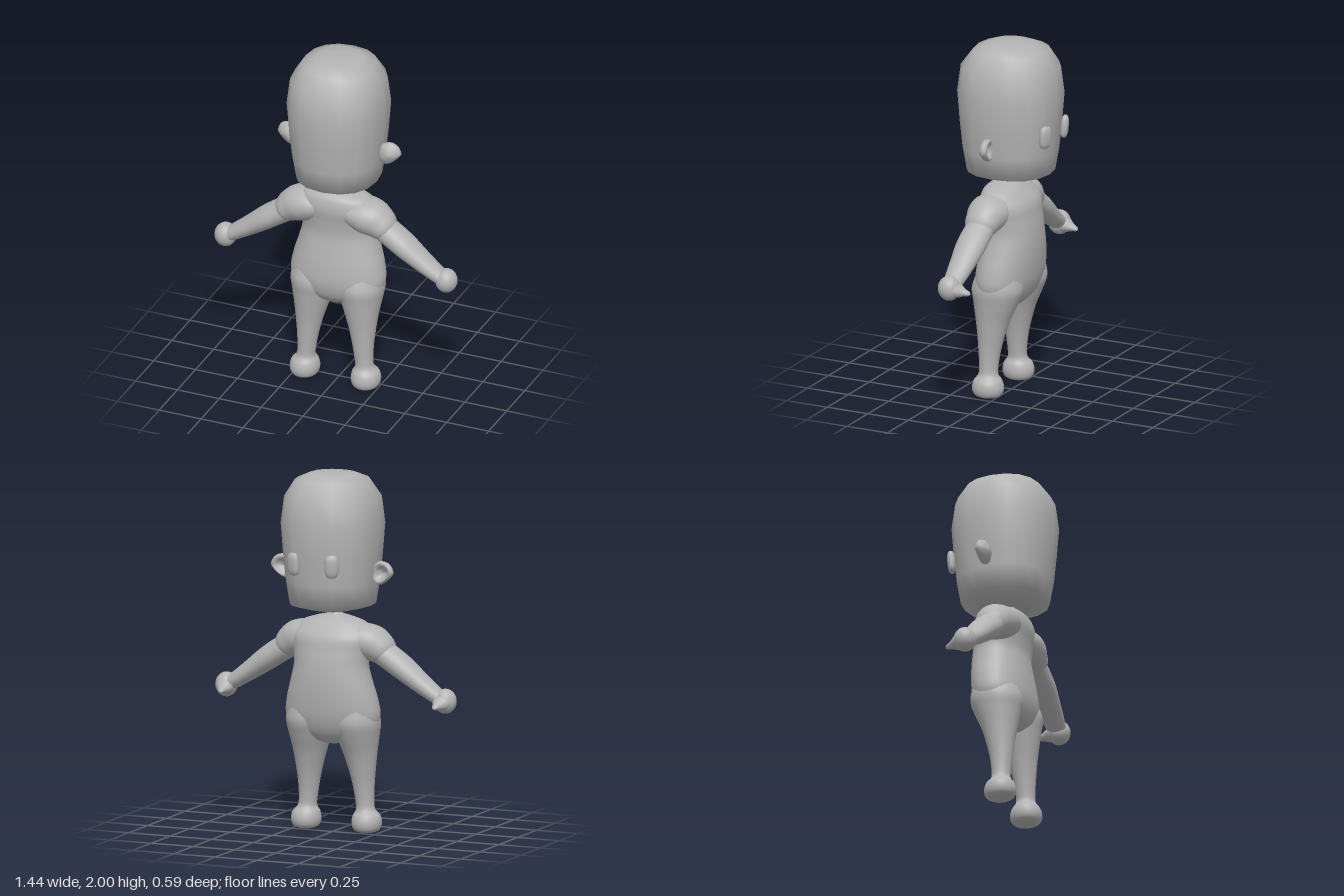
import * as THREE from 'three';

const X = new THREE.Vector3(1, 0, 0), Y = new THREE.Vector3(0, 1, 0), Z = new THREE.Vector3(0, 0, 1);

// Skin through elliptical sections [x, y, z, a, b]; the rows must advance along u cross v.
function loft(rows, { u = X, v = Z, sides = 28, steps = 5, power = 2 } = {}) {
  const centres = new THREE.CatmullRomCurve3(rows.map(r => new THREE.Vector3(r[0], r[1], r[2])), false, 'catmullrom', 0.5);
  const radii = new THREE.CatmullRomCurve3(rows.map(r => new THREE.Vector3(r[3], r[4], 0)), false, 'catmullrom', 0.5);
  const n = (rows.length - 1) * steps, pos = [], idx = [];
  const round = s => Math.sign(s) * Math.abs(s) ** (2 / power);
  for (let i = 0; i <= n; i++) {
    const c = centres.getPoint(i / n), r = radii.getPoint(i / n);
    for (let j = 0; j < sides; j++) {
      const t = (j / sides) * Math.PI * 2;
      const p = c.clone().addScaledVector(u, r.x * round(Math.cos(t))).addScaledVector(v, r.y * round(Math.sin(t)));
      pos.push(p.x, p.y, p.z);
    }
  }
  for (let i = 0; i < n; i++) for (let j = 0; j < sides; j++) {
    const k = (j + 1) % sides, a = i * sides + j, b = i * sides + k;
    idx.push(a, b, a + sides, b, b + sides, a + sides);
  }
  // end caps
  const first = pos.length / 3, last = first + 1;
  pos.push(...rows[0].slice(0, 3), ...rows[rows.length - 1].slice(0, 3));
  for (let j = 0; j < sides; j++) {
    const k = (j + 1) % sides;
    idx.push(first, k, j, last, n * sides + j, n * sides + k);
  }
  const g = new THREE.BufferGeometry();
  g.setAttribute('position', new THREE.Float32BufferAttribute(pos, 3));
  g.setIndex(idx);
  g.computeVertexNormals();
  return g;
}

// Mirror a geometry across x = 0, keeping its faces outward.
function mirrored(geo) {
  const g = geo.clone().applyMatrix4(new THREE.Matrix4().makeScale(-1, 1, 1));
  const ix = g.index.array;
  for (let i = 0; i < ix.length; i += 3) [ix[i + 1], ix[i + 2]] = [ix[i + 2], ix[i + 1]];
  return g;
}

export function createModel() {
  const model = new THREE.Group();
  const clay = new THREE.MeshStandardMaterial({ color: 0xb4b4b4 });
  const add = (name, geo) => {
    const m = new THREE.Mesh(geo, clay);
    m.name = name;
    model.add(m);
  };
  const addPair = (name, geo) => {
    add(name + 'Left', geo);
    add(name + 'Right', mirrored(geo));
  };

  // tall coarse-sided head
  add('head', loft([
    [0, 2.0, 0, 0.06, 0.06], [0, 1.995, 0, 0.13, 0.13], [0, 1.965, 0, 0.2, 0.205],
    [0, 1.87, 0.005, 0.26, 0.27], [0, 1.72, 0.005, 0.278, 0.29], [0, 1.55, 0.005, 0.265, 0.277],
    [0, 1.4, 0.005, 0.25, 0.262], [0, 1.272, 0.005, 0.23, 0.24], [0, 1.24, 0.005, 0.11, 0.12],
    [0, 1.228, 0.005, 0.03, 0.03],
  ], { sides: 16, steps: 1, power: 2.25 }));

  // torso with neck
  add('torso', loft([
    [0, 1.26, 0.03, 0.035, 0.035], [0, 1.215, 0.03, 0.042, 0.042], [0, 1.195, 0.03, 0.11, 0.075],
    [0, 1.165, 0.03, 0.19, 0.108], [0, 1.1, 0.01, 0.235, 0.14], [0, 1.02, -0.005, 0.222, 0.143],
    [0, 0.94, -0.014, 0.214, 0.146], [0, 0.85, -0.01, 0.234, 0.155], [0, 0.75, 0, 0.262, 0.16],
    [0, 0.65, 0.01, 0.274, 0.155], [0, 0.57, 0.015, 0.235, 0.13], [0, 0.52, 0.015, 0.13, 0.09],
    [0, 0.497, 0.015, 0.05, 0.05],
  ], { sides: 36, power: 2.15 }));

  // legs ending in round feet
  addPair('leg', loft([
    [0.14, 0.7, 0.005, 0.115, 0.13], [0.138, 0.62, 0.013, 0.133, 0.147], [0.143, 0.54, 0.022, 0.117, 0.127],
    [0.15, 0.45, 0.035, 0.095, 0.1], [0.158, 0.36, 0.043, 0.076, 0.079], [0.164, 0.27, 0.05, 0.061, 0.064],
    [0.17, 0.18, 0.053, 0.052, 0.054], [0.175, 0.13, 0.053, 0.053, 0.056], [0.181, 0.095, 0.052, 0.076, 0.08],
    [0.182, 0.055, 0.052, 0.083, 0.09], [0.182, 0.02, 0.052, 0.073, 0.08], [0.182, 0.004, 0.052, 0.045, 0.05],
    [0.182, 0, 0.052, 0.01, 0.01],
  ]));

  // shoulders and arms run outward and down
  const slope = { u: new THREE.Vector3(0.56, 0.83, 0), v: Z };
  addPair('shoulder', loft([
    [0.06, 1.1, 0.03, 0.07, 0.1], [0.14, 1.085, 0.035, 0.098, 0.118], [0.21, 1.06, 0.038, 0.105, 0.116],
    [0.265, 1.035, 0.04, 0.09, 0.1], [0.3, 1.012, 0.042, 0.075, 0.088], [0.33, 0.99, 0.042, 0.05, 0.06],
  ], slope));
  addPair('arm', loft([
    [0.22, 1.05, 0.04, 0.07, 0.08], [0.32, 0.99, 0.042, 0.069, 0.083], [0.41, 0.93, 0.044, 0.066, 0.084],
    [0.5, 0.865, 0.044, 0.056, 0.073], [0.58, 0.81, 0.044, 0.047, 0.062], [0.65, 0.765, 0.044, 0.04, 0.05],
  ], slope));

  // hands with a stubby thumb
  const hand = new THREE.SphereGeometry(1, 28, 18).scale(0.062, 0.069, 0.063).translate(0.659, 0.766, 0.045);
  addPair('hand', hand);
  addPair('thumb', loft([
    [0.655, 0.768, 0.03, 0.058, 0.055], [0.652, 0.76, -0.005, 0.048, 0.042], [0.647, 0.75, -0.04, 0.027, 0.022],
    [0.644, 0.745, -0.066, 0.016, 0.013], [0.643, 0.743, -0.076, 0.005, 0.004],
  ], { u: X, v: Y.clone().negate(), sides: 18 }));

  // cupped ears, hollow towards the face
  const earProfile = [[0.001, -0.03], [0.035, -0.024], [0.062, -0.004], [0.067, 0.012], [0.06, 0.027],
    [0.049, 0.03], [0.036, 0.018], [0.022, 0.002], [0.001, -0.003]].map(p => new THREE.Vector2(...p));
  const ear = new THREE.LatheGeometry(earProfile, 28).rotateX(-Math.PI / 2);
  const ep = ear.attributes.position;
  for (let i = 0; i < ep.count; i++) {
    // narrow the lower end and lean it in towards the head
    const low = Math.max(0, -ep.getY(i) / 0.067);
    ep.setX(i, ep.getX(i) * (1 - 0.25 * low) - 0.022 * low);
  }
  ear.computeVertexNormals();
  ear.rotateY(0.12).translate(0.302, 1.46, 0.01);
  addPair('ear', ear);

  // raised oval eyes on the face
  const eye = loft([
    [0, 0.064, 0, 0.008, 0.006], [0, 0.057, 0, 0.026, 0.014], [0, 0.03, 0, 0.037, 0.022],
    [0, -0.03, 0, 0.037, 0.022], [0, -0.057, 0, 0.026, 0.014], [0, -0.064, 0, 0.008, 0.006],
  ], { sides: 20, steps: 3, power: 2.4 });
  eye.rotateX(-0.08).rotateY(-0.38).translate(0.115, 1.522, -0.267);
  addPair('eye', eye);

  return model;
}
